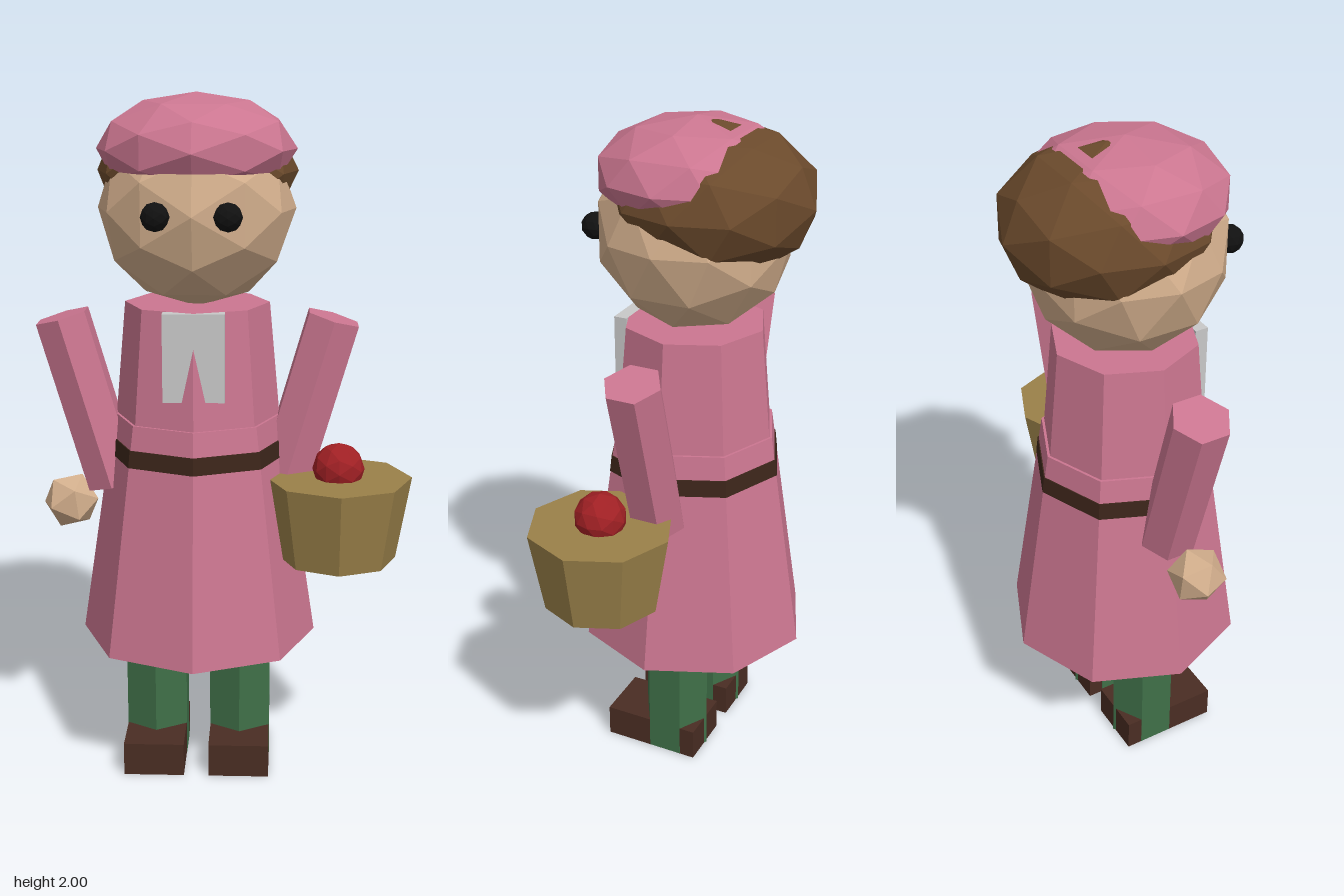
import * as THREE from 'three';

const paint = (name, color) => {
  const m = new THREE.MeshStandardMaterial({ color, flatShading: true });
  m.name = name;
  return m;
};

export function createModel() {
  const pink = paint('coat pink', 0xcb7690);
  const skin = paint('skin', 0xd2ae8c);
  const brown = paint('hair brown', 0x6b4a2c);
  const grey = paint('bib grey', 0xc8c8c8);
  const beltBrown = paint('belt brown', 0x3c251a);
  const green = paint('trouser green', 0x3f7048);
  const shoeBrown = paint('shoe brown', 0x4a2d23);
  const black = paint('eye black', 0x111111);
  const straw = paint('basket straw', 0x9a8049);
  const red = paint('apple red', 0xa02024);

  const model = new THREE.Group();
  const figure = new THREE.Group(); // the person stands left of centre, the basket balances it
  figure.name = 'figure';
  figure.position.x = -0.083;
  model.add(figure);

  const add = (parent, name, geometry, material, x, y, z) => {
    const mesh = new THREE.Mesh(geometry, material);
    mesh.name = name;
    mesh.position.set(x, y, z);
    parent.add(mesh);
    return mesh;
  };
  // Tapered prism between two heights
  const prism = (parent, name, material, rTop, rBottom, y0, y1, sides, x = 0, z = 0) =>
    add(parent, name, new THREE.CylinderGeometry(rTop, rBottom, y1 - y0, sides),
      material, x, (y0 + y1) / 2, z);
  // Faceted ball, optionally squashed
  const ball = (parent, name, material, detail, [rx, ry, rz], x, y, z) =>
    add(parent, name, new THREE.IcosahedronGeometry(1, detail).scale(rx, ry, rz), material, x, y, z);

  // Coat and belt
  prism(figure, 'skirt', pink, 0.248, 0.352, 0.4, 1.08, 8);
  prism(figure, 'torso', pink, 0.21, 0.24, 1.08, 1.41, 8);
  prism(figure, 'belt', beltBrown, 0.262, 0.268, 0.96, 1.01, 8);
  add(figure, 'bib', new THREE.BoxGeometry(0.174, 0.25, 0.04), grey, 0, 1.285, 0.199);

  // Head, hair and cap
  ball(figure, 'head', skin, 1, [0.283, 0.283, 0.285], 0, 1.68, 0);
  ball(figure, 'hair', brown, 1, [0.289, 0.212, 0.3], 0, 1.781, -0.055);
  ball(figure, 'cap', pink, 1, [0.285, 0.155, 0.284], 0, 1.845, -0.003);

  // Paired parts
  for (const side of [-1, 1]) {
    const label = side > 0 ? 'left' : 'right';
    ball(figure, label + 'Eye', black, 1, [0.04, 0.04, 0.04], side * 0.098, 1.68, 0.266);
    prism(figure, label + 'Leg', green, 0.105, 0.105, 0.001, 0.45, 6, side * 0.127);
    add(figure, label + 'Shoe', new THREE.BoxGeometry(0.18, 0.1, 0.3), shoeBrown,
      side * 0.127, 0.05, 0.05);

    const arm = prism(figure, label + 'Arm', pink, 0.085, 0.085, 0.856, 1.376, 6, side * 0.323);
    arm.rotation.z = -side * 0.28;

    const hand = ball(figure, label + 'Hand', skin, 0, [0.085, 0.085, 0.085], side * 0.38, 0.81, 0.02);
    hand.quaternion.setFromUnitVectors(
      new THREE.Vector3(1, 1, 1).normalize(), new THREE.Vector3(0, 0, 1));
  }

  // Basket with an apple on top
  prism(model, 'basket', straw, 0.214, 0.172, 0.67, 0.915, 8, 0.33, 0.1);
  ball(model, 'apple', red, 1, [0.076, 0.076, 0.076], 0.33, 0.94, 0.1);

  return model;
}
